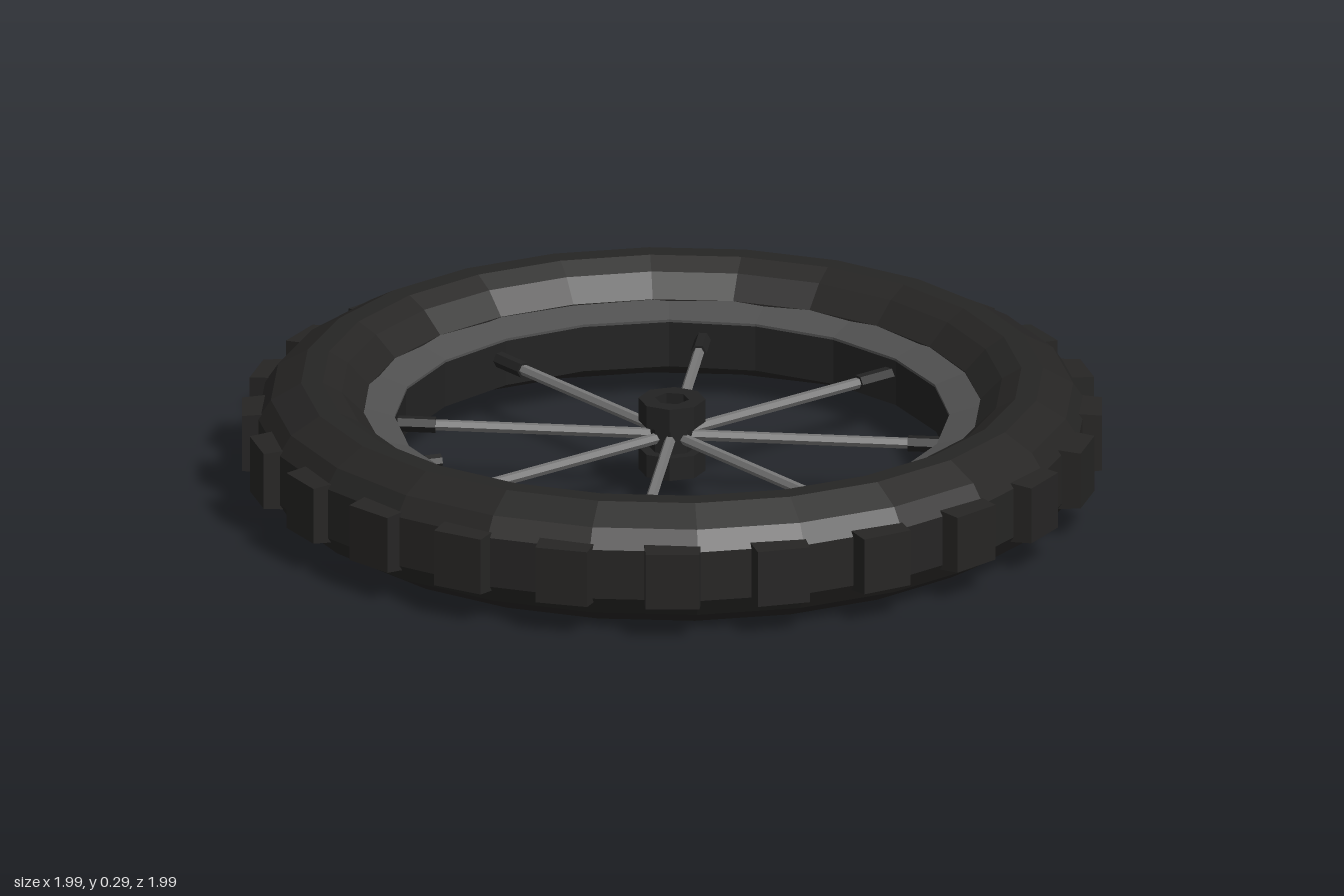
import * as THREE from 'three';

const MID = 0.145; // height of the wheel's middle plane

const mat = (color) => new THREE.MeshStandardMaterial({ color, flatShading: true });
const rubber = mat(0x262524);
const darkMetal = mat(0x222222);
const rimGrey = mat(0x505050);
const steel = mat(0x777777);

function add(parent, name, geometry, material) {
  const mesh = new THREE.Mesh(geometry, material);
  mesh.name = name;
  parent.add(mesh);
  return mesh;
}

// Closed ring turned from [radius, height above the middle plane] pairs
function ring(points, sides) {
  const profile = [...points, points[0]].map(([r, y]) => new THREE.Vector2(r, y));
  return new THREE.LatheGeometry(profile, sides);
}

function polygon(PathType, radius, sides, turn) {
  const pts = [];
  for (let i = 0; i < sides; i++) {
    const a = turn + (i / sides) * Math.PI * 2;
    pts.push(new THREE.Vector2(Math.cos(a) * radius, Math.sin(a) * radius));
  }
  return new PathType(pts);
}

// Octagonal collar with a hexagonal bore, centred on y
function collar(radius, height, y) {
  const shape = polygon(THREE.Shape, radius, 8, Math.PI / 8);
  shape.holes.push(polygon(THREE.Path, 0.04, 6, Math.PI / 6));
  const g = new THREE.ExtrudeGeometry(shape, { depth: height, bevelEnabled: false });
  return g.rotateX(-Math.PI / 2).translate(0, y - height / 2, 0);
}

// Tread lug pointing along +x, narrower at its outer face
function lugGeometry() {
  const g = new THREE.BoxGeometry(0.08, 0.15, 0.135);
  const p = g.attributes.position;
  for (let i = 0; i < p.count; i++) {
    if (p.getX(i) > 0) {
      p.setY(i, p.getY(i) * 0.9);
      p.setZ(i, p.getZ(i) * 0.92);
    }
  }
  return g.translate(0.955, 0, 0);
}

// Rod lying along x between two radii
function rod(r0, r1, radius0, radius1, sides) {
  return new THREE.CylinderGeometry(radius1, radius0, r1 - r0, sides)
    .rotateZ(-Math.PI / 2).translate((r0 + r1) / 2, 0, 0);
}

export function createModel() {
  const wheel = new THREE.Group();
  wheel.name = 'wheel';
  const body = new THREE.Group();
  body.name = 'wheelBody';
  body.position.y = MID;
  wheel.add(body);

  // Tyre carcass
  const half = [[0.96, 0.06], [0.93, 0.105], [0.86, 0.145], [0.81, 0.145], [0.765, 0.12], [0.715, 0.07]];
  const lower = half.map(([r, y]) => [r, -y]).reverse();
  add(body, 'tyre', ring([...lower, ...half], 24), rubber);

  // Tread lugs
  const lug = lugGeometry();
  const tread = new THREE.Group();
  tread.name = 'tread';
  body.add(tread);
  for (let i = 0; i < 24; i++) {
    add(tread, 'treadLug', lug, rubber).rotation.y = -THREE.MathUtils.degToRad(3.5 + i * 15);
  }

  // Rim band with a lighter upper lip
  add(body, 'rim', ring([[0.645, -0.07], [0.73, -0.085], [0.73, 0.065], [0.645, 0.04]], 20), darkMetal);
  const lip = [[0.73, 0.068], [0.73, 0.072], [0.642, 0.046], [0.642, 0.04]];
  add(body, 'rimLip', ring(lip, 20), rimGrey);

  // Spokes with nipples at the rim
  const spokeRod = rod(0.04, 0.58, 0.013, 0.013, 6);
  const nippleRod = rod(0.55, 0.66, 0.019, 0.019, 6);
  for (let i = 0; i < 8; i++) {
    const spoke = new THREE.Group();
    spoke.name = 'spoke';
    spoke.rotation.y = -THREE.MathUtils.degToRad(25 + i * 45);
    add(spoke, 'spokeRod', spokeRod, steel);
    add(spoke, 'spokeNipple', nippleRod, darkMetal);
    body.add(spoke);
  }

  // Hub: narrow waist between two collars
  const hub = new THREE.Group();
  hub.name = 'hub';
  body.add(hub);
  add(hub, 'hubWaist', collar(0.052, 0.09, 0), darkMetal);
  for (const side of [-1, 1]) {
    add(hub, 'hubCollar', collar(0.078, 0.055, side * 0.06), darkMetal);
  }

  // Air valve on the right side of the rim
  const valve = new THREE.Group();
  valve.name = 'valve';
  valve.rotation.y = Math.PI;
  add(valve, 'valveStem', rod(0.59, 0.66, 0.013, 0.013, 8), darkMetal);
  add(valve, 'valveCap', rod(0.565, 0.605, 0.018, 0.018, 8), darkMetal);
  body.add(valve);

  return wheel;
}
